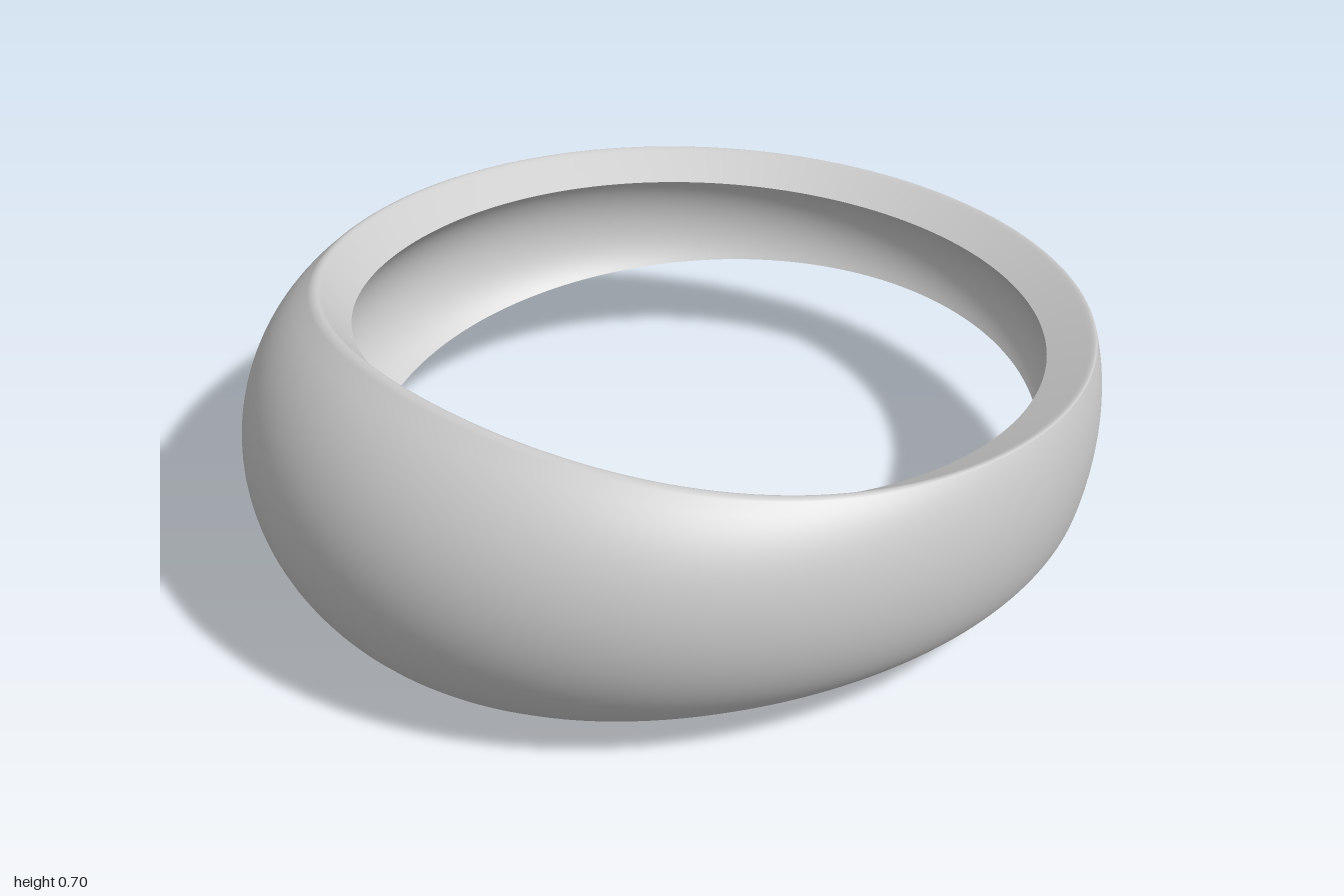
import * as THREE from 'three';

const SEGMENTS = 160;
const MID_Y = 0.355;

// Point on an ellipse in plan, at angle t from the front
const plan = (t, cz, rx, rz, y = 0) => new THREE.Vector3(rx * Math.sin(t), y, cz + rz * Math.cos(t));

// Points along a circular arc of half height h that bulges from edge to crown
function bulge(edge, crown, h, vMax, steps) {
  const s = edge.distanceTo(crown);
  const R = (h * h + s * s) / (2 * s);
  const points = [];
  for (let k = 0; k <= steps; k++) {
    const y = h * vMax * (2 * k / steps - 1);
    const f = (Math.sqrt(R * R - y * y) - (R - s)) / s;
    const p = edge.clone().lerp(crown, f);
    p.y = y;
    points.push(p);
  }
  return points;
}

// Key plan curves and heights of the cross-section at angle t
function section(t) {
  const front = (1 + Math.cos(t)) / 2;
  const h = 0.142 + 0.12 * front + 0.093 * front ** 6;      // half height at the ridge
  const drop = 0.05 + 0.04 * front ** 3;                    // rim slopes down to the hole
  const hollow = 0.03 + 0.04 * front + 0.1 * front ** 3;    // depth of the inside scoop
  return {
    h, hInner: h - drop,
    crown: plan(t, 0, 0.91, 1),
    ridge: plan(t, -0.095, 0.862, 0.867),
    hole: plan(t, -0.075, 0.76, 0.785),
    scoop: plan(t, -0.075, 0.76 + hollow, 0.785 + hollow),
  };
}

// Bulging outside, softened ridges and sloping rims, from bottom to top
function outerProfile(t) {
  const { h, hInner, crown, ridge, hole } = section(t);
  const arc = bulge(ridge, crown, h, 0.97, 28);
  const corner = ridge.clone().setY(h);
  const inner = hole.clone().setY(hInner);
  const rimStart = corner.clone().lerp(inner, 0.14);
  const fillet = new THREE.QuadraticBezierCurve3(arc[arc.length - 1], corner, rimStart);
  const top = fillet.getPoints(6).slice(1);
  for (const f of [0.05, 0.5, 1]) top.push(rimStart.clone().lerp(inner, f));
  const bottom = top.map((p) => new THREE.Vector3(p.x, -p.y, p.z)).reverse();
  return [...bottom, ...arc, ...top];
}

// Concave inside, from top to bottom
function innerProfile(t) {
  const { hInner, hole, scoop } = section(t);
  return bulge(hole, scoop, hInner, 1, 24).reverse();
}

// Closed loop of cross-sections
function loopMesh(name, profile, material) {
  const positions = [], index = [];
  let n = 0;
  for (let i = 0; i < SEGMENTS; i++) {
    const points = profile(i / SEGMENTS * Math.PI * 2);
    n = points.length;
    for (const p of points) positions.push(p.x, p.y + MID_Y, p.z);
  }
  for (let i = 0; i < SEGMENTS; i++) {
    const a = i * n, b = ((i + 1) % SEGMENTS) * n;
    for (let j = 0; j < n - 1; j++) {
      index.push(a + j, b + j, b + j + 1, a + j, b + j + 1, a + j + 1);
    }
  }
  const geometry = new THREE.BufferGeometry();
  geometry.setAttribute('position', new THREE.Float32BufferAttribute(positions, 3));
  geometry.setIndex(index);
  geometry.computeVertexNormals();
  const mesh = new THREE.Mesh(geometry, material);
  mesh.name = name;
  return mesh;
}

export function createModel() {
  const group = new THREE.Group();
  group.name = 'ring';
  const metal = new THREE.MeshStandardMaterial({ color: 0xcccccc });
  group.add(loopMesh('outerBand', outerProfile, metal));
  group.add(loopMesh('innerHollow', innerProfile, metal));
  return group;
}
